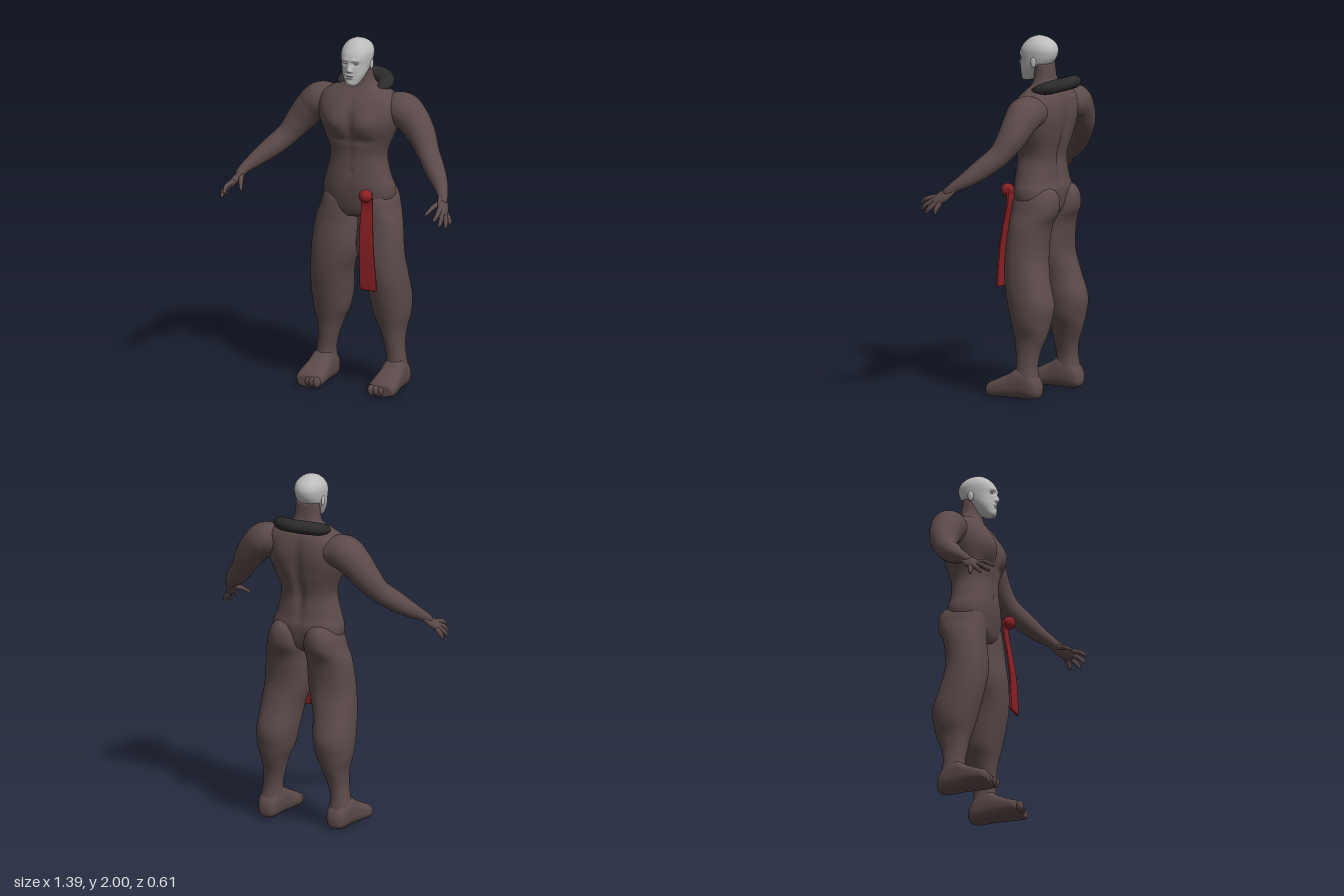
import * as THREE from 'three';

const V = (x, y, z) => new THREE.Vector3(x, y, z);
const gauss = (d, w) => Math.exp(-(d * d) / (w * w));
const mat = (name, color) => Object.assign(new THREE.MeshStandardMaterial({ color }), { name });

// Closed smooth skin over a list of rings; both ends are capped and faces turned outward
function skin(rings) {
  const n = rings[0].length, pos = [], idx = [];
  rings.forEach(r => r.forEach(p => pos.push(p.x, p.y, p.z)));
  for (let i = 0; i < rings.length - 1; i++)
    for (let j = 0; j < n; j++) {
      const a = i * n + j, b = i * n + (j + 1) % n;
      idx.push(a, a + n, b, b, a + n, b + n);
    }
  [0, rings.length - 1].forEach((row, end) => {
    const c = rings[row].reduce((s, p) => s.add(p), V(0, 0, 0)).divideScalar(n);
    const k = pos.length / 3;
    pos.push(c.x, c.y, c.z);
    for (let j = 0; j < n; j++) {
      const a = row * n + j, b = row * n + (j + 1) % n;
      end ? idx.push(a, k, b) : idx.push(a, b, k);
    }
  });
  const at = i => V(pos[i * 3], pos[i * 3 + 1], pos[i * 3 + 2]);
  let volume = 0;
  for (let i = 0; i < idx.length; i += 3) volume += at(idx[i]).dot(at(idx[i + 1]).cross(at(idx[i + 2])));
  if (volume < 0) idx.reverse();
  const g = new THREE.BufferGeometry();
  g.setAttribute('position', new THREE.Float32BufferAttribute(pos, 3));
  g.setIndex(idx);
  g.computeVertexNormals();
  return g;
}

// Loft along y or z; each row is [t, xMin, xMax, otherMin, otherMax]
function loft(rows, { axis = 'y', power = 2, steps = 60, sides = 48, shape } = {}) {
  const c1 = new THREE.CatmullRomCurve3(rows.map(r => V(r[0], r[1], r[2])), false, 'catmullrom');
  const c2 = new THREE.CatmullRomCurve3(rows.map(r => V(r[3], r[4], 0)), false, 'catmullrom');
  const round = v => Math.sign(v) * Math.abs(v) ** (2 / power);
  const rings = [];
  for (let i = 0; i <= steps; i++) {
    const p = c1.getPoint(i / steps), q = c2.getPoint(i / steps), ring = [];
    for (let j = 0; j < sides; j++) {
      const a = j / sides * Math.PI * 2;
      const x = (p.y + p.z) / 2 + (p.z - p.y) / 2 * round(Math.cos(a));
      const w = (q.x + q.y) / 2 + (q.y - q.x) / 2 * round(Math.sin(a));
      const v = axis === 'y' ? V(x, p.x, w) : V(x, w, p.x);
      if (shape) shape(v, Math.sin(a));
      ring.push(v);
    }
    rings.push(ring);
  }
  return skin(rings);
}

// Round-ended limb through [x, y, z, radius] points, thinned along the given normal
function limb(pts, normal = V(0, 0, 1), flat = 1, steps = 40, sides = 24) {
  const path = new THREE.CatmullRomCurve3(pts.map(p => V(p[0], p[1], p[2])), false, 'catmullrom');
  const radii = new THREE.CatmullRomCurve3(pts.map(p => V(p[3], 0, 0)), false, 'catmullrom');
  const rings = [];
  const ring = (t, angle) => {
    const T = path.getTangent(t), r = radii.getPoint(t).x;
    const u = T.clone().cross(normal).normalize(), v = u.clone().cross(T);
    const c = path.getPoint(t).addScaledVector(T, Math.sin(angle) * r);
    rings.push(Array.from({ length: sides }, (_, j) => {
      const a = j / sides * Math.PI * 2, k = r * Math.cos(angle);
      return c.clone().addScaledVector(u, Math.cos(a) * k).addScaledVector(v, Math.sin(a) * k * flat);
    }));
  };
  for (let k = 5; k > 0; k--) ring(0, -k * 0.3);
  for (let i = 0; i <= steps; i++) ring(i / steps, 0);
  for (let k = 1; k <= 5; k++) ring(1, k * 0.3);
  return skin(rings);
}

function ball(x, y, z, rx, ry = rx, rz = rx) {
  return new THREE.SphereGeometry(1, 24, 16).scale(rx, ry, rz).translate(x, y, z);
}

function mirrored(g) {
  const m = g.clone().scale(-1, 1, 1);
  m.index.array.reverse();
  return m;
}

export function createModel() {
  const model = new THREE.Group();
  const skinMat = mat('dark brown skin', 0x5c4a4a), headMat = mat('pale grey', 0xbcbcbc);
  const collarMat = mat('charcoal', 0x2b2b2b), redMat = mat('deep red', 0x8a2024);
  const add = (name, geo, material) => {
    const m = new THREE.Mesh(geo, material);
    m.name = name;
    model.add(m);
  };
  const pair = (name, geo, material) => {
    add('left' + name, geo, material);
    add('right' + name, mirrored(geo), material);
  };

  // Torso and neck, with chest, belly and spine modelling
  const torso = [
    [0.99, 0.07, 0.0, -0.15], [1.03, 0.17, 0.018, -0.2], [1.1, 0.205, 0.03, -0.22], [1.155, 0.206, 0.035, -0.225],
    [1.21, 0.187, 0.035, -0.213], [1.31, 0.163, 0.028, -0.205], [1.37, 0.168, 0.028, -0.215],
    [1.45, 0.2, 0.04, -0.235], [1.53, 0.233, 0.045, -0.245], [1.6, 0.24, 0.035, -0.245],
    [1.66, 0.225, 0.005, -0.235], [1.7, 0.17, -0.025, -0.215], [1.73, 0.1, -0.045, -0.185],
    [1.77, 0.076, -0.055, -0.165], [1.85, 0.068, -0.06, -0.155],
  ].map(([y, w, f, b]) => [y, -w, w, b, f]);
  add('torso', loft(torso, {
    power: 2.3, steps: 110, sides: 96,
    shape: (p, s) => {
      const ax = Math.abs(p.x);
      if (s > 0) {
        p.z += s * (0.026 * gauss(ax - 0.1, 0.085) * gauss(p.y - 1.53, 0.07)
          - 0.012 * gauss(p.x, 0.02) * gauss(p.y - 1.54, 0.1)
          - 0.01 * gauss(p.y - 1.435, 0.022) * gauss(ax - 0.09, 0.08)
          - 0.012 * gauss(p.x, 0.009) * gauss(p.y - 1.25, 0.012)
          - 0.005 * gauss(p.x, 0.015) * gauss(p.y - 1.34, 0.1));
      } else {
        p.z += -s * (0.022 * gauss(p.x, 0.025) * gauss(p.y - 1.4, 0.2)
          - 0.01 * gauss(ax - 0.12, 0.06) * gauss(p.y - 1.58, 0.09));
      }
    },
  }), skinMat);

  // Legs, from buttock to ankle
  pair('Leg', loft([
    [1.175, 0.09, 0.13, -0.19, -0.08], [1.15, 0.04, 0.175, -0.235, -0.02], [1.1, 0.012, 0.208, -0.254, 0.012],
    [1.03, 0.003, 0.228, -0.248, 0.022], [0.945, 0.002, 0.255, -0.208, 0.024], [0.79, 0.004, 0.272, -0.19, 0.038],
    [0.65, 0.045, 0.284, -0.22, 0.03], [0.52, 0.065, 0.29, -0.258, 0.005], [0.42, 0.085, 0.283, -0.245, -0.02],
    [0.34, 0.12, 0.262, -0.225, -0.04], [0.26, 0.145, 0.257, -0.195, -0.052], [0.18, 0.16, 0.265, -0.185, -0.06],
    [0.1, 0.155, 0.278, -0.195, -0.05], [0.05, 0.165, 0.27, -0.185, -0.06],
  ], { power: 2.2, steps: 80 }), skinMat);

  // Feet and toes
  pair('Foot', loft([
    [-0.216, 0.195, 0.235, 0.03, 0.07], [-0.2, 0.17, 0.262, 0.008, 0.11], [-0.16, 0.155, 0.278, 0, 0.15],
    [-0.09, 0.15, 0.285, 0, 0.175], [-0.03, 0.147, 0.292, 0, 0.14], [0.04, 0.14, 0.302, 0, 0.105],
    [0.085, 0.142, 0.302, 0, 0.085], [0.105, 0.16, 0.285, 0.006, 0.065],
  ], { axis: 'z', power: 2.6 }), skinMat);
  for (let i = 0; i < 5; i++) {
    const r = 0.024 - i * 0.0018;
    pair('Toe', ball(0.167 + i * 0.028, 0.038, 0.106 - i * i * 0.0022, r * 0.85, r * 1.3, r), skinMat);
  }

  // Arms, hands and fingers
  pair('Arm', limb([
    [0.17, 1.6, -0.14, 0.085], [0.25, 1.597, -0.135, 0.1], [0.31, 1.55, -0.13, 0.092], [0.37, 1.475, -0.115, 0.08],
    [0.43, 1.39, -0.075, 0.063], [0.5, 1.32, -0.01, 0.057], [0.56, 1.265, 0.05, 0.044], [0.605, 1.22, 0.11, 0.03],
    [0.62, 1.195, 0.14, 0.026],
  ], V(0, 0, 1), 1, 60, 32), skinMat);
  pair('Palm', limb([
    [0.605, 1.22, 0.11, 0.028], [0.626, 1.18, 0.15, 0.037], [0.645, 1.148, 0.192, 0.036],
  ], V(0.8, 0.6, 0.07), 0.55, 16), skinMat);
  [
    ['IndexFinger', [0.633, 1.163, 0.21], [0.645, 1.15, 0.262], [0.641, 1.125, 0.296]],
    ['MiddleFinger', [0.648, 1.147, 0.21], [0.664, 1.122, 0.252], [0.665, 1.095, 0.278]],
    ['RingFinger', [0.66, 1.132, 0.196], [0.68, 1.102, 0.225], [0.684, 1.079, 0.24]],
    ['LittleFinger', [0.66, 1.13, 0.172], [0.681, 1.1, 0.18], [0.685, 1.083, 0.182]],
    ['Thumb', [0.61, 1.19, 0.14], [0.588, 1.168, 0.195], [0.567, 1.138, 0.24]],
  ].forEach(([name, a, b, c]) =>
    pair(name, limb([[...a, 0.015], [...b, 0.013], [...c, 0.009]], V(0.8, 0.6, 0.07), 1, 12, 12), skinMat));

  // Head, with brow, eye sockets, nose, lips and chin
  const head = [
    [1.745, 0.018, 0.025, -0.01], [1.755, 0.036, 0.033, -0.04], [1.78, 0.052, 0.036, -0.07], [1.81, 0.066, 0.037, -0.1],
    [1.84, 0.075, 0.038, -0.14], [1.87, 0.081, 0.038, -0.165], [1.9, 0.085, 0.041, -0.178], [1.93, 0.085, 0.032, -0.18],
    [1.96, 0.073, 0.01, -0.165], [1.985, 0.048, -0.02, -0.13], [1.999, 0.016, -0.055, -0.09],
  ].map(([y, w, f, b]) => [y, -w, w, b, f]);
  add('head', loft(head, {
    power: 2.15, steps: 110, sides: 128,
    shape: (p, s) => {
      if (s <= 0) return;
      const ax = Math.abs(p.x), dy = p.y - 1.838;
      p.z += 0.021 * gauss(p.x, 0.013) * gauss(dy, dy < 0 ? 0.01 : 0.034)
        + 0.006 * gauss(ax - 0.012, 0.008) * gauss(p.y - 1.836, 0.008)
        + 0.005 * gauss(ax - 0.03, 0.022) * gauss(p.y - 1.897, 0.009)
        - 0.011 * gauss(ax - 0.031, 0.014) * gauss(p.y - 1.876, 0.01)
        + 0.007 * gauss(p.x, 0.022) * (gauss(p.y - 1.809, 0.006) + gauss(p.y - 1.794, 0.006))
        - 0.005 * gauss(p.x, 0.024) * gauss(p.y - 1.801, 0.003)
        + 0.005 * gauss(p.x, 0.02) * gauss(p.y - 1.766, 0.012);
    },
  }), headMat);
  pair('Eye', ball(0.031, 1.876, 0.021, 0.013, 0.007, 0.009), headMat);
  pair('Ear', ball(0.08, 1.858, -0.08, 0.009, 0.031, 0.018).rotateZ(0), headMat);

  // Open crescent collar, higher at the back
  const collar = [];
  for (let i = 0; i <= 12; i++) {
    const a = (i / 6 - 1) * 2.0, z = -0.16 - 0.1 * Math.cos(a);
    collar.push([0.123 * Math.sin(a), 1.69 - 0.27 * (z + 0.08) + 0.01, z, 0.05 - 0.022 * Math.abs(i / 6 - 1) ** 4]);
  }
  add('collar', limb(collar, V(0, 1, 0.27).normalize(), 0.75, 60), collarMat);

  // Hanging red strip and its round clasp
  add('clasp', ball(0.112, 1.137, 0.066, 0.037), redMat);
  add('hangingStrip', loft([
    [1.15, 0.08, 0.143, 0.035, 0.055], [1.06, 0.078, 0.15, 0.042, 0.055], [0.97, 0.078, 0.157, 0.058, 0.07],
    [0.88, 0.08, 0.166, 0.07, 0.082], [0.8, 0.083, 0.173, 0.077, 0.09], [0.7, 0.086, 0.183, 0.078, 0.093],
    [0.615, 0.089, 0.19, 0.078, 0.093], [0.602, 0.096, 0.184, 0.08, 0.09],
  ], { power: 6 }), redMat);

  return model;
}
